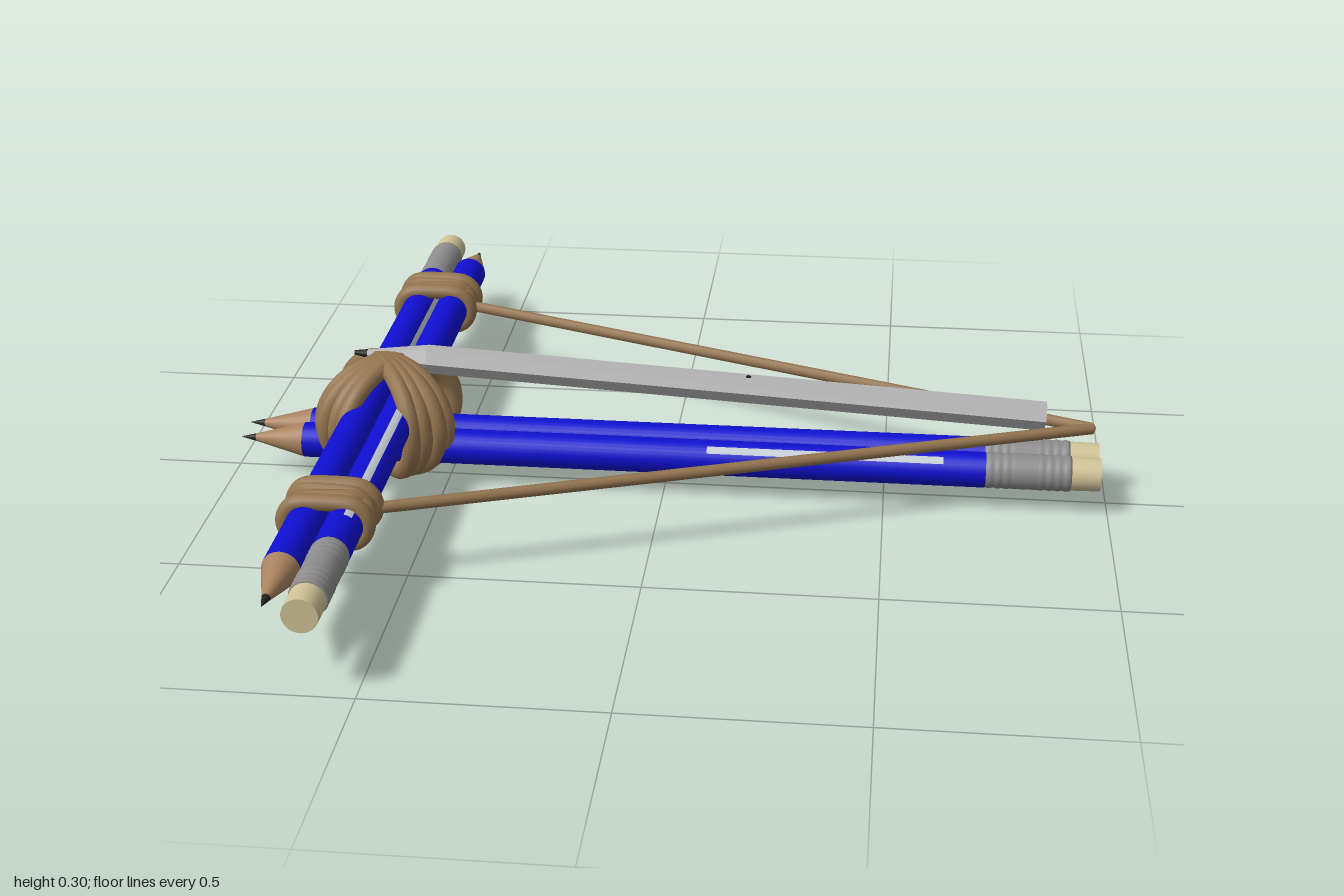
import * as THREE from 'three';

const mat = (color, side = THREE.FrontSide, flatShading = false) =>
  new THREE.MeshStandardMaterial({ color, side, flatShading });
const blue = mat(0x0f0fd0), wood = mat(0xa8825f), lead = mat(0x222222), metal = mat(0x8c8c8c);
const rubber = mat(0xcfc296), rope = mat(0x93744f), print = mat(0xc4ccd4, THREE.DoubleSide);
const plastic = mat(0xb4b4b4, THREE.FrontSide, true), dark = mat(0x1c1c1c, THREE.DoubleSide);
const R = 0.04;

function add(parent, name, geometry, material) {
  const mesh = new THREE.Mesh(geometry, material);
  mesh.name = name;
  parent.add(mesh);
  return mesh;
}

// Surface of revolution from [radius, y] points; each segment keeps its own edges
function lathe(points) {
  return new THREE.LatheGeometry(points.map(([r, y]) => new THREE.Vector2(r, y)), 28);
}

// Pencil along +y: eraser end at 0, point at the given length
function pencil(name, length, stripAngle, stripStart, stripLength) {
  const g = new THREE.Group();
  g.name = name;
  const bodyEnd = length - 0.15, ferruleEnd = 0.26;
  const cyl = (part, r0, r1, y0, y1, m) =>
    add(g, part, new THREE.CylinderGeometry(r1, r0, y1 - y0, 28).translate(0, (y0 + y1) / 2, 0), m);
  cyl('eraser', 0.037, 0.038, 0, 0.075, rubber);
  // Ribbed metal sleeve
  const ribs = [[0, 0.065], [0.039, 0.065]];
  for (let i = 0; i <= 40; i++) {
    const t = i / 40;
    const wave = t < 0.35 || t > 0.65 ? 0.0012 * Math.sin(t * 20 * Math.PI) : 0;
    ribs.push([R + wave, 0.07 + t * (ferruleEnd - 0.07)]);
  }
  add(g, 'ferrule', lathe(ribs), metal);
  cyl('pencilBody', R, R, ferruleEnd - 0.005, bodyEnd, blue);
  cyl('sharpenedWood', R, 0.009, bodyEnd, length - 0.035, wood);
  cyl('leadPoint', 0.009, 0.0005, length - 0.035, length, lead);
  // Plain pale stripe, bent to the barrel
  if (stripLength) {
    add(g, 'stripe', new THREE.CylinderGeometry(R + 0.001, R + 0.001, stripLength, 4, 1, true,
      stripAngle - 0.22, 0.44).translate(0, stripStart + stripLength / 2, 0), print);
  }
  return g;
}

// Closed rope loop through a rule giving a point for each angle
function ropeLoop(parent, name, radius, rule) {
  const pts = [];
  for (let i = 0; i < 36; i++) pts.push(rule((i / 36) * Math.PI * 2));
  const curve = new THREE.CatmullRomCurve3(pts, true);
  return add(parent, name, new THREE.TubeGeometry(curve, 72, radius, 10, true), rope);
}

export function createModel() {
  const model = new THREE.Group();
  model.name = 'pencilCrossbow';

  // Stock: two pencils side by side along x, points toward -x
  for (const s of [-1, 1]) {
    const p = pencil(s > 0 ? 'stockPencilFront' : 'stockPencilBack', 1.96,
      0.87, 0.35, s > 0 ? 0.53 : 0);
    p.rotation.z = Math.PI / 2;
    p.position.set(0.98, 0.092, s * 0.04);
    model.add(p);
  }

  // Bow: two pencils along z, pointing opposite ways
  for (const s of [-1, 1]) {
    const p = pencil(s > 0 ? 'bowPencilInner' : 'bowPencilOuter', 1.97,
      s > 0 ? 0.45 : 0.65, 0.35, 0.55);
    p.rotation.x = -s * Math.PI / 2;
    p.position.set(-0.64 + s * 0.041, 0.18, s);
    model.add(p);
    // Turn the stripe to the upper, +x side of each barrel
    p.getObjectByName('stripe').rotation.y = s > 0 ? -0.05 : Math.PI - 1.9;
  }

  // Bindings close to the bow ends
  for (const [name, z] of [['bindingBack', -0.615], ['bindingFront', 0.565]]) {
    const g = new THREE.Group();
    g.name = name;
    g.position.set(-0.642, 0.178, z);
    model.add(g);
    for (const [offset, tilt] of [[-0.042, 0], [0.042, 0], [-0.014, 0.022], [0.014, -0.022]]) {
      const r = tilt ? 0.042 : 0.046;
      ropeLoop(g, 'bindingStrand', 0.0185, a => new THREE.Vector3(
        0.041 * Math.tanh(5 * Math.cos(a)) + r * Math.cos(a),
        r * Math.sin(a),
        offset + tilt * Math.cos(a)));
    }
  }

  // Crossed lashing over the joint: two splayed bundles on the diagonals
  const lashing = new THREE.Group();
  lashing.name = 'crossLashing';
  lashing.position.set(-0.635, 0.149, -0.006);
  model.add(lashing);
  for (const diagonal of [-1, 1]) {
    for (let i = 0; i < 4; i++) {
      const splay = (i - 1.5) * 0.15;
      const reach = 0.158 + 0.008 * (i % 2);
      const loop = ropeLoop(lashing, 'lashingStrand', 0.021, a => new THREE.Vector3(
        reach * Math.cos(a), 0.126 * Math.sin(a), (i - 1.5) * 0.009));
      loop.rotation.y = diagonal * (Math.PI / 4 + splay);
    }
  }

  // Bowstring: two straight runs meeting at the rear of the stock
  for (const [x, z] of [[-0.57, -0.615], [-0.57, 0.53]]) {
    const run = new THREE.LineCurve3(new THREE.Vector3(x, 0.174, z), new THREE.Vector3(0.96, 0.174, -0.028));
    add(model, 'bowstring', new THREE.TubeGeometry(run, 1, 0.013, 10), rope);
    const cap = add(model, 'bowstringEnd', new THREE.SphereGeometry(0.013, 10, 8), rope);
    cap.position.set(0.955, 0.174, -0.028);
  }

  // Barrel: empty six-sided pen tube with a tapered nose
  const barrel = new THREE.Group();
  barrel.name = 'penBarrel';
  barrel.position.set(-0.55, 0.275, -0.032);
  barrel.rotation.z = -0.055;
  model.add(barrel);
  const along = geometry => geometry.rotateZ(-Math.PI / 2);
  const pr = 0.033, len = 1.407;
  add(barrel, 'penTube', along(new THREE.CylinderGeometry(pr, pr, len, 6, 1, true)
    .translate(0, len / 2, 0)), plastic);
  add(barrel, 'penNose', along(new THREE.CylinderGeometry(pr, 0.01, 0.14, 6, 1, true)
    .translate(0, -0.07, 0)), plastic);
  add(barrel, 'penTip', along(new THREE.CylinderGeometry(0.01, 0.005, 0.03, 12)
    .translate(0, -0.155, 0)), dark);
  // Hollow rear end
  const rim = add(barrel, 'penRim', new THREE.RingGeometry(0.024, pr, 6, 1).rotateY(Math.PI / 2), plastic);
  rim.position.x = len;
  add(barrel, 'penBore', along(new THREE.CylinderGeometry(0.025, 0.025, 0.3, 12, 1, true)
    .translate(0, len - 0.151, 0)), dark);
  const plug = add(barrel, 'penBoreEnd', new THREE.CircleGeometry(0.025, 12).rotateY(Math.PI / 2), dark);
  plug.position.x = len - 0.3;
  // Small vent on the top face
  const vent = add(barrel, 'penVent', new THREE.CylinderGeometry(0.006, 0.006, 0.004, 12), dark);
  vent.position.set(0.735, pr * Math.cos(Math.PI / 6), 0);

  return model;
}
